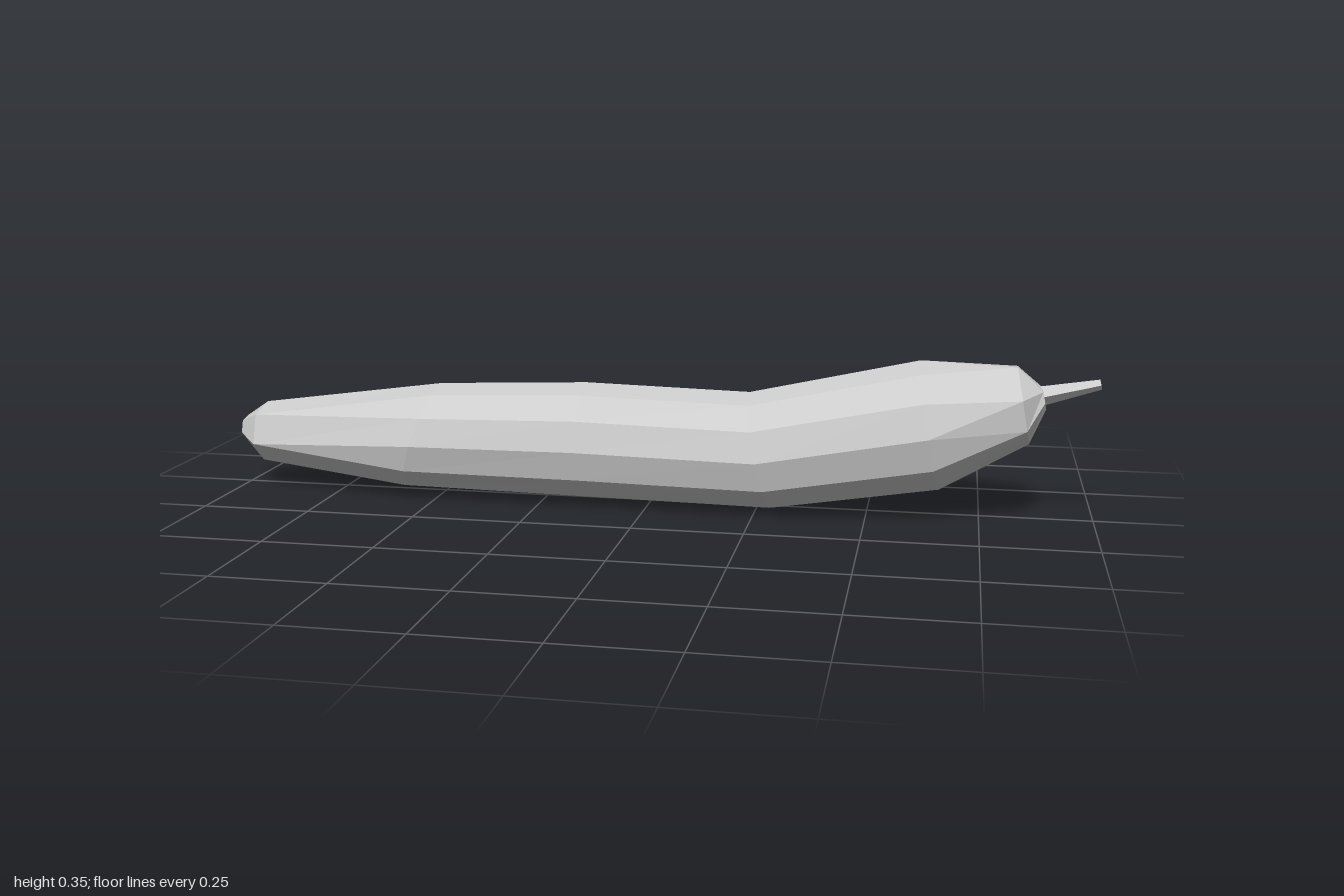
import * as THREE from 'three';

const SIDES = 12;

// Ring in a tilted plane: x at bottom and top, y range, z range.
// step 2 merges neighbouring corners, giving a six-sided ring.
function ring(xBottom, xTop, y0, y1, z0, z1, step = 1, sides = SIDES) {
  const points = [];
  for (let k = 0; k < sides; k++) {
    const slot = Math.floor(k / step) * step + (step - 1) / 2;
    const a = (slot / sides) * Math.PI * 2;
    const t = (1 - Math.cos(a)) / 2;
    points.push(new THREE.Vector3(
      xBottom + (xTop - xBottom) * t,
      y0 + (y1 - y0) * t,
      (z0 + z1) / 2 + ((z1 - z0) / 2) * Math.sin(a)
    ));
  }
  return points;
}

// Faceted skin through a list of rings, closed at both ends
function loft(rings) {
  const positions = [];
  const tri = (a, b, c) => {
    const area = b.clone().sub(a).cross(c.clone().sub(a)).length();
    if (area > 1e-7) for (const p of [a, b, c]) positions.push(p.x, p.y, p.z);
  };
  const n = rings[0].length;
  const centre = (r) => r.reduce((s, p) => s.add(p), new THREE.Vector3()).divideScalar(n);
  for (let i = 0; i < rings.length - 1; i++) {
    for (let k = 0; k < n; k++) {
      const m = (k + 1) % n;
      const a = rings[i][k], b = rings[i][m], c = rings[i + 1][m], d = rings[i + 1][k];
      tri(a, d, c);
      tri(a, c, b);
    }
  }
  const first = rings[0], last = rings[rings.length - 1];
  const start = centre(first), end = centre(last);
  for (let k = 0; k < n; k++) {
    const m = (k + 1) % n;
    tri(start, first[k], first[m]);
    tri(end, last[m], last[k]);
  }
  const geometry = new THREE.BufferGeometry();
  geometry.setAttribute('position', new THREE.Float32BufferAttribute(positions, 3));
  geometry.computeVertexNormals();
  return geometry;
}

export function createModel() {
  const group = new THREE.Group();
  group.name = 'vegetable';
  const skin = new THREE.MeshStandardMaterial({ color: 0xcccccc, flatShading: true });
  skin.name = 'light grey';

  // Irregular seven-cornered shoulder ring: [z, y] for each slot from the bottom, front first
  const corners = [[0.04, 0.18], [0.1, 0.22], [0.107, 0.288], [0.04, 0.35],
    [-0.03, 0.342], [-0.07, 0.29], [-0.05, 0.207]];
  const shoulder = [0, 0, 1, 1, 2, 3, 3, 4, 5, 5, 6, 6].map((i) => {
    const [z, y] = corners[i];
    return new THREE.Vector3(0.82 + (0.352 - y) * 0.18, y, z);
  });

  // Long body, from the blunt tip to the neck
  const body = new THREE.Mesh(loft([
    ring(-1, -1, 0.11, 0.167, -0.025, 0.042, 2),
    ring(-0.95, -0.95, 0.062, 0.203, -0.064, 0.09, 2),
    ring(-0.58, -0.5, 0.014, 0.265, -0.125, 0.153),
    ring(-0.15, -0.15, 0.007, 0.279, -0.129, 0.157),
    ring(0.29, 0.23, 0.002, 0.27, -0.13, 0.16),
    ring(0.66, 0.61, 0.057, 0.352, -0.162, 0.154),
    shoulder,
    ring(0.885, 0.875, 0.257, 0.305, 0, 0.05, 2),
  ]), skin);
  body.name = 'body';
  group.add(body);

  // Thin tapering stem
  const stem = new THREE.Mesh(loft([
    ring(0.87, 0.86, 0.262, 0.306, 0.006, 0.046, 1, 4),
    ring(1, 0.995, 0.306, 0.328, 0.02, 0.044, 1, 4),
  ]), skin);
  stem.name = 'stem';
  group.add(stem);

  return group;
}
